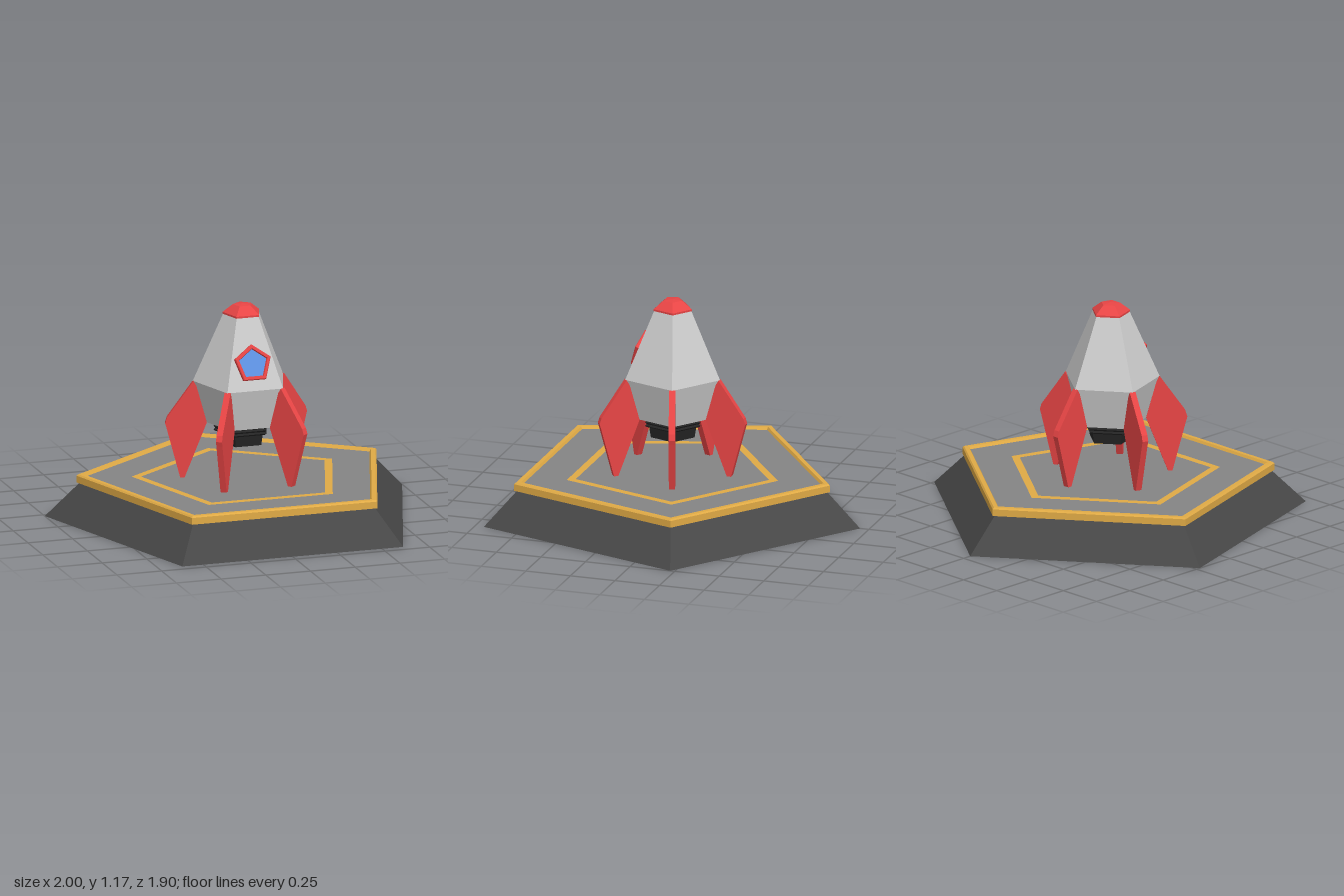
import * as THREE from 'three';

const mat = (color) =>
  new THREE.MeshStandardMaterial({ color, flatShading: true, side: THREE.DoubleSide });

// Five-sided surface of revolution with one corner pointing to -z; profile is [radius, height]
function pentagon(name, profile, material) {
  const points = profile.map(([r, y]) => new THREE.Vector2(r, y));
  const mesh = new THREE.Mesh(new THREE.LatheGeometry(points, 5, Math.PI), material);
  mesh.name = name;
  return mesh;
}

export function createModel() {
  const dark = mat(0x474747);
  const black = mat(0x242424);
  const yellow = mat(0xe0aa45);
  const padGrey = mat(0x858585);
  const grey = mat(0xcccccc);
  const red = mat(0xe84545);
  const blue = mat(0x5f94e6);

  const model = new THREE.Group();
  model.name = 'rocketOnLaunchPad';
  model.position.z = 0.1;

  // Launch pad: a hollow shell, open underneath
  const pad = new THREE.Group();
  pad.name = 'launchPad';
  const padY = 0.217;
  pad.add(
    pentagon('padSkirt', [[1.051, 0], [0.865, 0.185]], dark),
    pentagon('padTrim', [[0.865, 0.185], [0.882, 0.185], [0.882, 0.222], [0.873, 0.23],
      [0.845, 0.23], [0.835, padY]], yellow),
    pentagon('padOuterFloor', [[0.835, padY], [0.59, padY]], padGrey),
    pentagon('padStripe', [[0.59, padY], [0.54, padY]], yellow),
    pentagon('padInnerFloor', [[0.54, padY], [0, padY]], padGrey),
  );

  // Rocket hull, nose and engine
  const rocket = new THREE.Group();
  rocket.name = 'rocket';
  rocket.add(
    pentagon('hull', [[0, 0.52], [0.2, 0.52], [0.265, 0.745], [0.102, 1.12]], grey),
    pentagon('noseCap', [[0, 1.115], [0.107, 1.115], [0.107, 1.125], [0.052, 1.168],
      [0, 1.173]], red),
    pentagon('engine', [[0, 0.41], [0.122, 0.41], [0.132, 0.47], [0.146, 0.47], [0.155, 0.478],
      [0.146, 0.487], [0.155, 0.496], [0.146, 0.505], [0.155, 0.514], [0.146, 0.522]], black),
  );

  // Fins, one on each hull corner
  const outline = [[0.19, 0.52], [0.308, padY], [0.332, padY], [0.404, 0.488], [0.412, 0.515],
    [0.402, 0.547], [0.262, 0.747], [0.245, 0.72]];
  const thickness = 0.034;
  const finShape = new THREE.Shape(outline.map(([r, y]) => new THREE.Vector2(r, y)));
  const finGeometry = new THREE.ExtrudeGeometry(finShape, { depth: thickness, bevelEnabled: false });
  finGeometry.translate(0, 0, -thickness / 2);
  for (let i = 0; i < 5; i++) {
    const fin = new THREE.Mesh(finGeometry, red);
    fin.name = `fin${i + 1}`;
    fin.rotation.y = Math.PI / 2 + (i * 2 * Math.PI) / 5;
    rocket.add(fin);
  }

  // Porthole lying on the sloped front face, corner upward
  const porthole = new THREE.Group();
  porthole.name = 'porthole';
  porthole.add(
    pentagon('portholeFrame', [[0.105, -0.004], [0.105, 0.017], [0.1, 0.022], [0.084, 0.022],
      [0.08, 0.012]], red),
    pentagon('portholeGlass', [[0.08, 0.012], [0, 0.012]], blue),
  );
  const slope = Math.atan2((0.265 - 0.102) * Math.cos(Math.PI / 5), 1.12 - 0.745);
  porthole.rotation.x = Math.PI / 2 - slope;
  porthole.position.set(0, 0.88, 0.168);
  rocket.add(porthole);

  model.add(pad, rocket);
  const root = new THREE.Group();
  root.name = 'model';
  root.add(model);
  return root;
}
